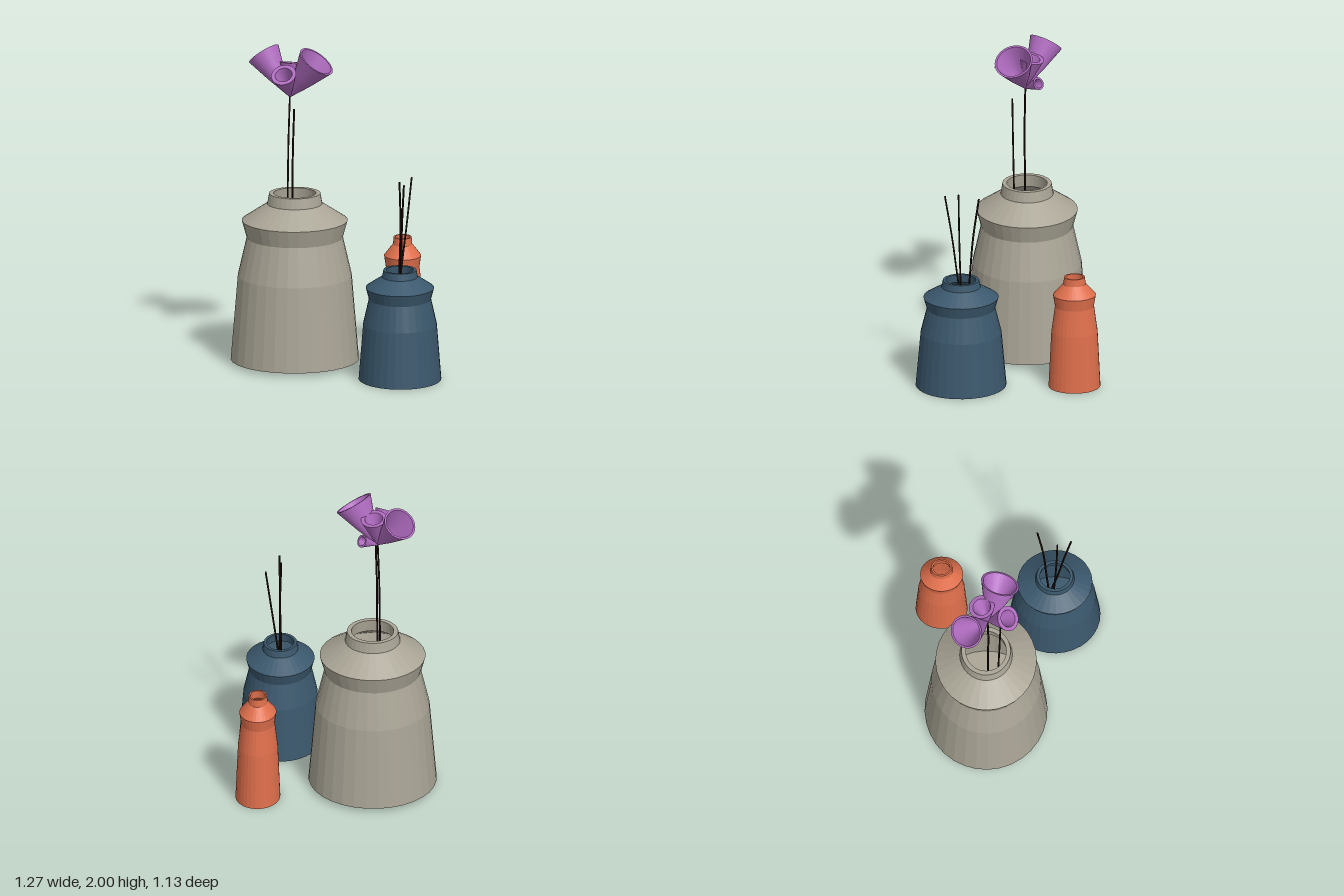
import * as THREE from 'three';

const material = (color, flatShading = false) =>
  new THREE.MeshStandardMaterial({ color, flatShading, side: THREE.DoubleSide });

// Shared bottle profile (radius, height), up the outside, over the rim and down the inside
const VASE_PROFILE = [
  [0, 0], [1, 0], [0.89, 0.505], [0.75, 0.735], [0.825, 0.838], [0.43, 0.937], [0.4, 1],
  [0.33, 1], [0.35, 0.925], [0.73, 0.83], [0.67, 0.735], [0.81, 0.5], [0.91, 0.06], [0, 0.06],
].map(([r, y]) => new THREE.Vector2(r, y));

function makeVase(name, color, [x, y, z], rx, height, rz) {
  const geometry = new THREE.LatheGeometry(VASE_PROFILE, 32);
  geometry.scale(rx, height, rz);
  const vase = new THREE.Mesh(geometry, material(color, true));
  vase.name = name;
  vase.position.set(x, y, z);
  return vase;
}

// Thin twig through a few points
function makeStem(name, points, mat) {
  const curve = new THREE.CatmullRomCurve3(points.map(p => new THREE.Vector3(...p)));
  const stem = new THREE.Mesh(new THREE.TubeGeometry(curve, 16, 0.006, 6), mat);
  stem.name = name;
  return stem;
}

// Hollow trumpet bloom from a shared base point towards the centre of its rim
function makeBloom(base, rim, radius, lip, mat) {
  const from = new THREE.Vector3(...base);
  const axis = new THREE.Vector3(...rim).sub(from);
  const length = axis.length();
  const profile = [
    [0.004, 0], [radius * 0.55, length * 0.5], [radius, length],
    [radius - lip, length], [(radius - lip) * 0.5, length * 0.55], [0, length * 0.15],
  ].map(([r, y]) => new THREE.Vector2(r, y));
  const bloom = new THREE.Mesh(new THREE.LatheGeometry(profile, 32), mat);
  bloom.geometry = bloom.geometry.toNonIndexed();
  bloom.geometry.computeVertexNormals();
  bloom.name = 'bloom';
  bloom.position.copy(from);
  bloom.quaternion.setFromUnitVectors(new THREE.Vector3(0, 1, 0), axis.normalize());
  return bloom;
}

export function createModel() {
  const model = new THREE.Group();
  model.name = 'vasesWithFlowers';

  // Three vases of one shape in different proportions
  model.add(
    makeVase('largeVase', 0xaaa596, [-0.24, 0.025, -0.158], 0.395, 1.05, 0.378),
    makeVase('mediumVase', 0x3b586d, [0.377, 0, 0.285], 0.255, 0.69, 0.28),
    makeVase('smallVase', 0xdf6f4c, [0.443, 0, -0.41], 0.138, 0.72, 0.16),
  );

  // Bare twigs and the flower stem
  const bark = material(0x20140f);
  const stems = [
    ['flowerStem', [-0.295, 0.3, -0.145], [-0.284, 1.08, -0.148], [-0.28, 1.4, -0.145], [-0.27, 1.71, -0.15]],
    ['largeVaseTwig', [-0.265, 0.3, -0.095], [-0.26, 1.08, -0.078], [-0.258, 1.35, -0.073], [-0.25, 1.63, -0.068]],
    ['leaningTwig', [0.335, 0.2, 0.265], [0.39, 0.69, 0.233], [0.425, 0.97, 0.215], [0.457, 1.25, 0.18]],
    ['frontTwig', [0.395, 0.2, 0.23], [0.383, 0.69, 0.304], [0.385, 0.97, 0.34], [0.394, 1.25, 0.385]],
    ['middleTwig', [0.38, 0.2, 0.27], [0.374, 0.69, 0.288], [0.38, 0.97, 0.296], [0.373, 1.25, 0.3]],
  ];
  for (const [name, ...points] of stems) model.add(makeStem(name, points, bark));

  // Cluster of trumpet blooms: rim centre, rim radius, lip width
  const purple = material(0xb06cc0);
  const flower = new THREE.Group();
  flower.name = 'flower';
  const blooms = [
    [[-0.422, 1.93, -0.285], 0.105, 0.013],
    [[-0.113, 1.93, -0.068], 0.12, 0.013],
    [[-0.318, 1.86, -0.025], 0.078, 0.025],
    [[-0.25, 1.895, -0.185], 0.08, 0.024],
    [[-0.18, 1.755, -0.225], 0.04, 0.012],
  ];
  for (const [rim, radius, lip] of blooms) {
    flower.add(makeBloom([-0.27, 1.69, -0.148], rim, radius, lip, purple));
  }
  model.add(flower);

  return model;
}
